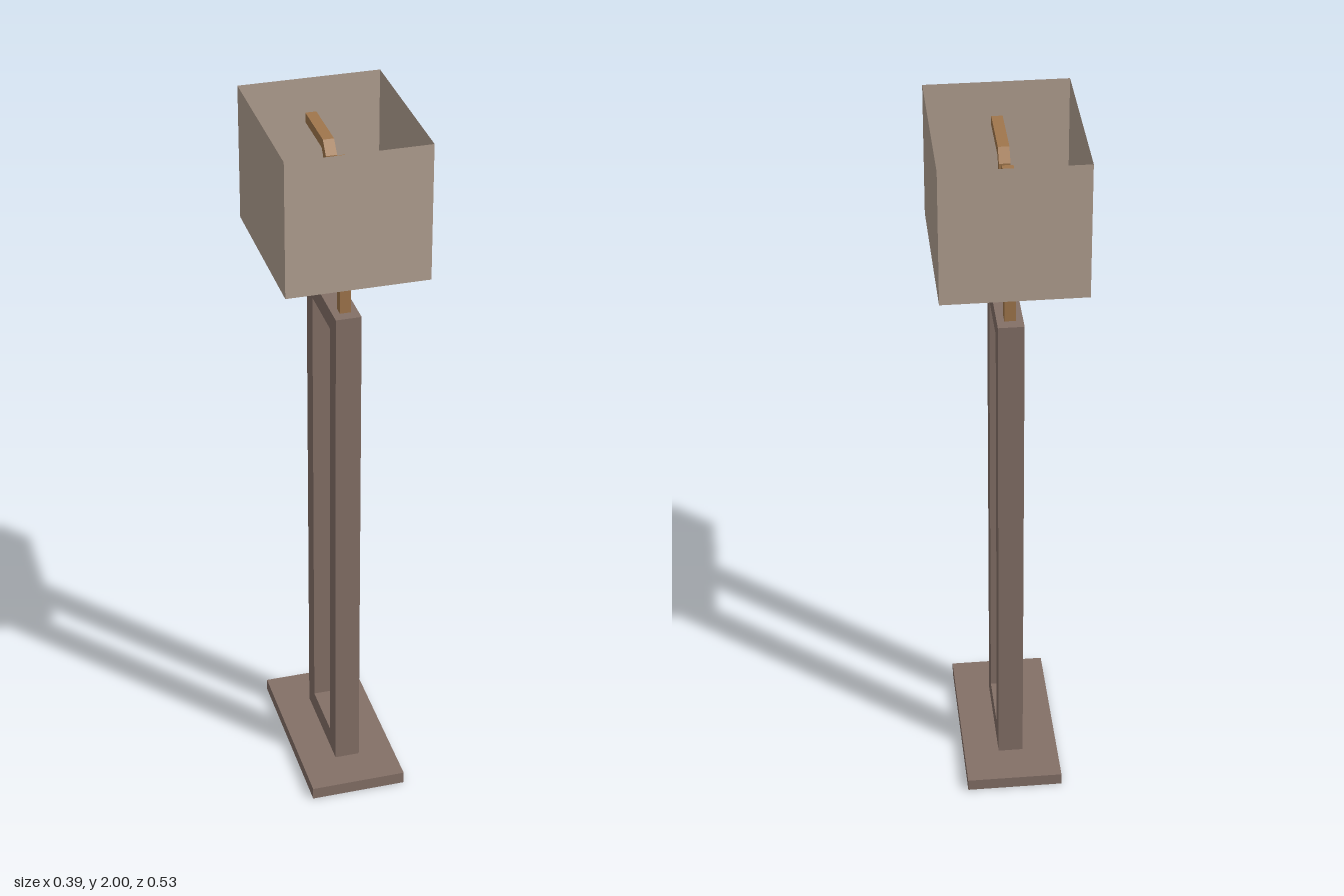
import * as THREE from 'three';

const wood = new THREE.MeshStandardMaterial({ color: 0x847067, side: THREE.DoubleSide });
wood.name = 'brown wood';
const brass = new THREE.MeshStandardMaterial({ color: 0xa0764c });
brass.name = 'warm brass';
const fabric = new THREE.MeshStandardMaterial({ color: 0xb3a192, side: THREE.DoubleSide });
fabric.name = 'beige fabric';

function rectangle(Type, w, y0, y1) {
  return new Type([[-w, y0], [w, y0], [w, y1], [-w, y1]].map(([x, y]) => new THREE.Vector2(x, y)));
}

function extrude(shape, depth) {
  return new THREE.ExtrudeGeometry(shape, { depth, bevelEnabled: false });
}

// Extrudes a profile drawn in (z, y) along x, centred on x = 0
function extrudeAcross(shape, width) {
  return extrude(shape, width).rotateY(-Math.PI / 2).translate(width / 2, 0, 0);
}

// Drops every triangle whose three corners all pass the test
function removeFaces(geo, test) {
  const pos = geo.attributes.position, kept = [];
  for (let i = 0; i < pos.count; i += 3) {
    const tri = [0, 1, 2].map(k => new THREE.Vector3().fromBufferAttribute(pos, i + k));
    if (!tri.every(test)) tri.forEach(v => kept.push(v.x, v.y, v.z));
  }
  const out = new THREE.BufferGeometry();
  out.setAttribute('position', new THREE.Float32BufferAttribute(kept, 3));
  out.computeVertexNormals();
  return out;
}

// Outline of a bar of constant thickness following a path, with mitred corners
function barShape(path, thickness) {
  const pts = path.map(([x, y]) => new THREE.Vector2(x, y));
  const left = [], right = [];
  pts.forEach((p, i) => {
    const a = p.clone().sub(pts[i - 1] ?? p).normalize();
    const b = (pts[i + 1] ?? p).clone().sub(p).normalize();
    const dir = a.clone().add(b).normalize();
    const cos = dir.dot(i ? a : b);
    const n = new THREE.Vector2(-dir.y, dir.x).multiplyScalar(thickness / 2 / cos);
    left.push(p.clone().add(n));
    right.push(p.clone().sub(n));
  });
  return new THREE.Shape([...left, ...right.reverse()]);
}

export function createModel() {
  const model = new THREE.Group();
  model.name = 'floorLamp';
  const add = (name, geo, mat) => {
    const mesh = new THREE.Mesh(geo, mat);
    mesh.name = name;
    model.add(mesh);
    return mesh;
  };
  const baseTop = 0.035, frameX = 0.035, frameZ = 0.145;

  // Base: hollow tray, open below and under the frame
  const baseShape = rectangle(THREE.Shape, 0.135, -0.265, 0.265);
  baseShape.holes.push(rectangle(THREE.Path, frameX, -frameZ, frameZ));
  const base = extrude(baseShape, baseTop).rotateX(-Math.PI / 2);
  const tray = removeFaces(base, v => v.y < 0.001);
  add('base', removeFaces(tray, v => Math.abs(v.x) < 0.05 && Math.abs(v.z) < 0.2 && true
    && v.y < baseTop + 1 && Math.abs(v.x) <= frameX + 1e-4 && Math.abs(v.z) <= frameZ + 1e-4), wood);

  // Upright frame: hollow, with a tall opening and no underside
  const frameShape = rectangle(THREE.Shape, frameZ, baseTop, 1.485);
  frameShape.holes.push(rectangle(THREE.Path, 0.087, 0.095, 1.43));
  add('frame', removeFaces(extrudeAcross(frameShape, frameX * 2), v => v.y < baseTop + 0.001), wood);

  // Two cranked arms: up, inward, up again, then outward inside the shade
  const armPath = [[0.1, 1.48], [0.1, 1.725], [0.034, 1.785], [0.034, 1.87], [0.056, 1.895], [0.222, 1.895]];
  for (const [name, turn] of [['frontArm', 0], ['backArm', Math.PI]]) {
    add(name, extrudeAcross(barShape(armPath, 0.027), 0.03), brass).rotation.y = turn;
  }

  // Shade: four thin walls, open at top and bottom
  const shade = new THREE.BoxGeometry(0.386, 0.38, 0.474).toNonIndexed().translate(0, 1.81, 0);
  const sleeve = removeFaces(shade, v => v.y > 1.99);
  add('shade', removeFaces(sleeve, v => v.y < 1.63), fabric);

  return model;
}
